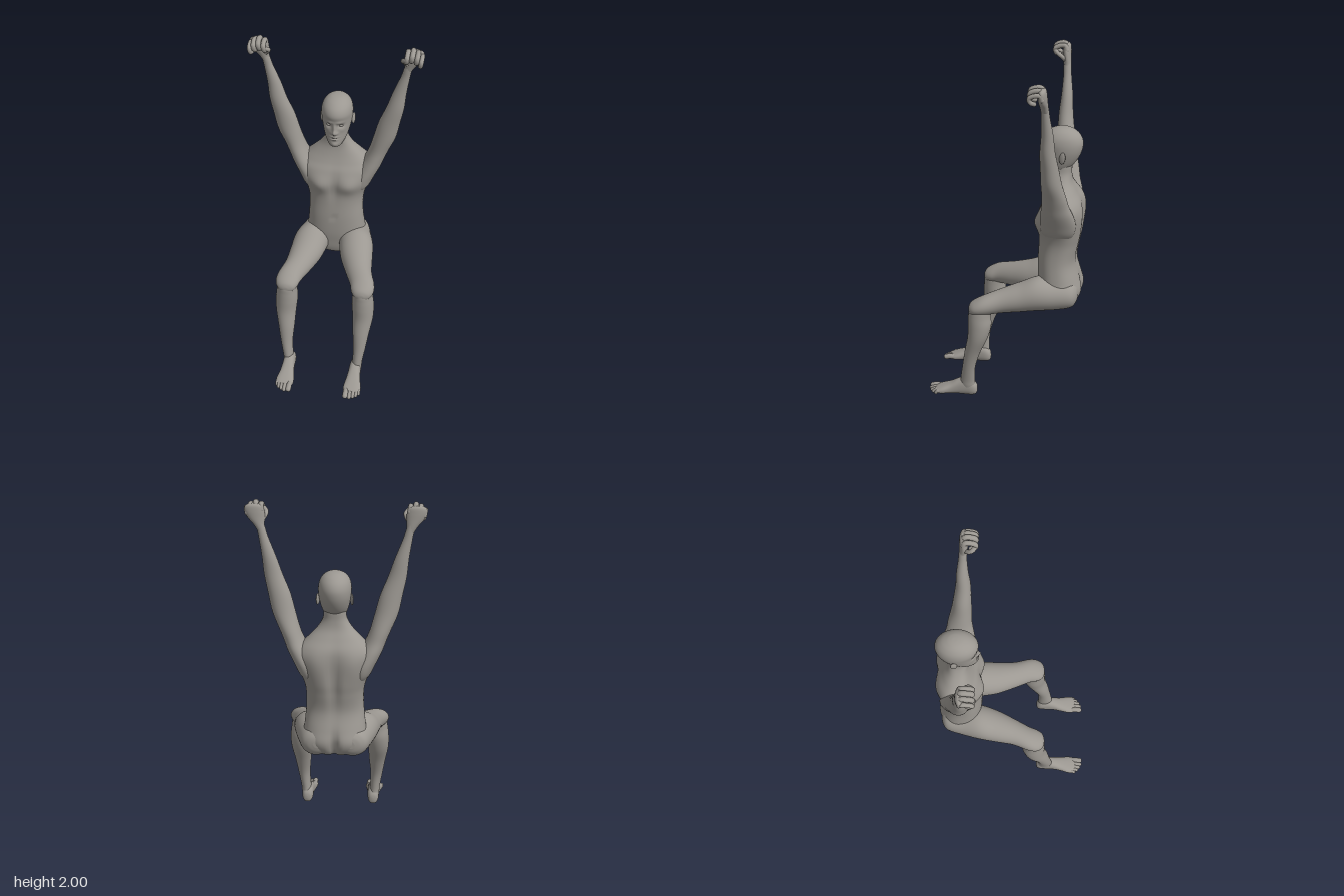
import * as THREE from 'three';
import { mergeGeometries } from 'three/addons/utils/BufferGeometryUtils.js';

const skin = new THREE.MeshStandardMaterial({ color: 0x9c9892 });
skin.name = 'warm grey';

// Smooth skin over oval sections [cx, cy, cz, rx, r2]; axis is the direction the sections face.
// deform(point, s) may push vertices; s runs from -1 (back or bottom) to 1 (front or top).
function loft(stations, axis, { side = 1, seg = 40, steps = 6, power = 1, deform } = {}) {
  const pos = [], index = [];
  const rows = (stations.length - 1) * steps + 1;
  const spline = (a, b, c, d, t) => {
    const m0 = (c - a) / 2, m1 = (d - b) / 2;
    return b + m0 * t + (3 * (c - b) - 2 * m0 - m1) * t * t + (2 * (b - c) + m0 + m1) * t * t * t;
  };
  const at = (i) => stations[Math.min(Math.max(i, 0), stations.length - 1)];
  const bend = (v) => Math.sign(v) * Math.abs(v) ** power;
  const p = new THREE.Vector3();
  for (let r = 0; r < rows; r++) {
    const i = Math.min(Math.floor(r / steps), stations.length - 2), t = r / steps - i;
    const [cx, cy, cz, rx, r2] = at(i).map((v, k) => spline(at(i - 1)[k], v, at(i + 1)[k], at(i + 2)[k], t));
    for (let j = 0; j < seg; j++) {
      const a = (j / seg) * Math.PI * 2, c = bend(Math.cos(a)), s = bend(Math.sin(a));
      p.set(cx + Math.max(rx, 0.0005) * c, cy, cz);
      p[axis === 'y' ? 'z' : 'y'] += Math.max(r2, 0.0005) * s;
      if (deform) deform(p, s);
      pos.push(p.x * side, p.y, p.z);
      if (r < rows - 1) {
        const k = r * seg + j, n = r * seg + (j + 1) % seg;
        index.push(k, k + seg, n, n, k + seg, n + seg);
      }
    }
  }
  for (let j = 1; j < seg - 1; j++) {
    const e = (rows - 1) * seg;
    index.push(0, j, j + 1, e, e + j + 1, e + j);
  }
  // The winding depends on the axis and on mirroring
  if ((axis === 'y' ? 1 : -1) * side * Math.sign(stations.at(-1)[axis === 'y' ? 1 : 2] - stations[0][axis === 'y' ? 1 : 2]) < 0) index.reverse();
  const g = new THREE.BufferGeometry();
  g.setAttribute('position', new THREE.Float32BufferAttribute(pos, 3));
  g.setIndex(index);
  g.computeVertexNormals();
  return g;
}

// Round-ended tube for fingers, thumbs and toes
function digit(points, radius, side) {
  const v = points.map(([x, y, z]) => new THREE.Vector3(x * side, y, z));
  const ball = (p) => new THREE.SphereGeometry(radius, 14, 10).translate(p.x, p.y, p.z);
  return mergeGeometries([
    new THREE.TubeGeometry(new THREE.CatmullRomCurve3(v), 16, radius, 14), ball(v[0]), ball(v.at(-1)),
  ]);
}

const ellipsoid = (x, y, z, rx, ry, rz) => new THREE.SphereGeometry(1, 24, 16).scale(rx, ry, rz).translate(x, y, z);
const bump = (x, y, cx, cy, sx, sy) => Math.exp(-(((x - cx) / sx) ** 2) - ((y - cy) / sy) ** 2);
// Upright section given as height, half width, back z and front z
const section = ([y, w, back, front]) => [0, y, (front + back) / 2, w, (front - back) / 2];

export function createModel() {
  const model = new THREE.Group();
  model.name = 'seatedFigure';
  const add = (name, geometry, parent = model) => {
    const m = new THREE.Mesh(geometry, skin);
    m.name = name;
    parent.add(m);
  };

  // Torso and neck, with chest, navel, spine groove, shoulder blades and buttocks
  add('torso', loft([
    [0.578, 0.03, -0.33, -0.25], [0.59, 0.1, -0.385, -0.215], [0.625, 0.155, -0.418, -0.2],
    [0.68, 0.178, -0.432, -0.192], [0.75, 0.17, -0.422, -0.184], [0.85, 0.16, -0.4, -0.182],
    [0.95, 0.159, -0.415, -0.186], [1.02, 0.173, -0.428, -0.186], [1.1, 0.207, -0.433, -0.18],
    [1.17, 0.222, -0.432, -0.196], [1.22, 0.192, -0.422, -0.22], [1.27, 0.142, -0.395, -0.238],
    [1.32, 0.095, -0.37, -0.248], [1.37, 0.066, -0.362, -0.246], [1.42, 0.06, -0.364, -0.245], [1.46, 0.055, -0.36, -0.25],
  ].map(section), 'y', {
    seg: 72, power: 0.85,
    deform: (p, s) => {
      const x = Math.abs(p.x), y = p.y;
      if (s > 0) {
        p.z += s * (0.02 * bump(x, y, 0.09, 1.09, 0.055, 0.055) - 0.012 * bump(x, y, 0, 1.08, 0.025, 0.09)
          - 0.008 * bump(x, y, 0, 0.86, 0.012, 0.014));
      } else {
        p.z -= s * (0.02 * bump(x, y, 0, 1.03, 0.03, 0.16) + 0.035 * bump(x, y, 0, 0.64, 0.018, 0.08));
        p.z += s * (0.01 * bump(x, y, 0.1, 1.14, 0.05, 0.09) + 0.01 * bump(x, y, 0.08, 0.67, 0.06, 0.07));
      }
    },
  }));

  // Head, with brow, eye sockets, nose, lips and chin
  const head = new THREE.Group();
  head.name = 'head';
  model.add(head);
  add('skull', loft([
    [1.345, 0.015, -0.245, -0.215], [1.353, 0.034, -0.275, -0.202], [1.37, 0.047, -0.31, -0.196],
    [1.395, 0.061, -0.345, -0.197], [1.43, 0.073, -0.378, -0.199], [1.47, 0.082, -0.403, -0.2],
    [1.51, 0.088, -0.418, -0.197], [1.55, 0.089, -0.422, -0.188], [1.585, 0.081, -0.41, -0.2],
    [1.612, 0.063, -0.385, -0.228], [1.628, 0.04, -0.355, -0.262], [1.634, 0.018, -0.33, -0.29], [1.635, 0, -0.31, -0.31],
  ].map(section), 'y', {
    seg: 112, steps: 8,
    deform: (p, s) => {
      if (s <= 0) return;
      const x = Math.abs(p.x), y = p.y;
      p.z += s * (0.02 * bump(x, y, 0, 1.448, 0.011, 0.014) + 0.012 * bump(x, y, 0, 1.475, 0.009, 0.025)
        + 0.008 * bump(x, y, 0.014, 1.442, 0.008, 0.008) + 0.006 * bump(x, y, 0.03, 1.512, 0.025, 0.009)
        - 0.014 * bump(x, y, 0.034, 1.488, 0.016, 0.012) + 0.009 * bump(x, y, 0, 1.417, 0.019, 0.006)
        + 0.009 * bump(x, y, 0, 1.401, 0.017, 0.006) - 0.005 * bump(x, y, 0, 1.409, 0.024, 0.0035)
        + 0.005 * bump(x, y, 0, 1.368, 0.02, 0.014) + 0.005 * bump(x, y, 0.05, 1.46, 0.016, 0.016));
    },
  }), head);

  for (const [label, side] of [['left', 1], ['right', -1]]) {
    add(label + 'Eye', ellipsoid(side * 0.034, 1.488, -0.225, 0.014, 0.009, 0.013), head);
    const ear = ellipsoid(0, 0, 0, 0.008, 0.034, 0.019).rotateY(side * -0.4).rotateX(-0.15);
    add(label + 'Ear', ear.translate(side * 0.091, 1.482, -0.32), head);

    // Raised arm from the shoulder to the wrist
    const arm = new THREE.Group();
    arm.name = label + 'Arm';
    model.add(arm);
    add('armSkin', loft([
      [0.125, 1.01, -0.31, 0.03, 0.06], [0.143, 1.06, -0.31, 0.052, 0.092], [0.16, 1.12, -0.312, 0.064, 0.1],
      [0.194, 1.19, -0.31, 0.063, 0.09], [0.222, 1.25, -0.305, 0.057, 0.076], [0.246, 1.31, -0.302, 0.057, 0.067],
      [0.277, 1.4, -0.291, 0.063, 0.057], [0.301, 1.5, -0.283, 0.06, 0.049], [0.331, 1.6, -0.276, 0.05, 0.041],
      [0.353, 1.7, -0.277, 0.038, 0.033], [0.38, 1.8, -0.273, 0.026, 0.024], [0.392, 1.85, -0.27, 0.023, 0.022],
      [0.402, 1.89, -0.268, 0.022, 0.02],
    ], 'y', { side }), arm);

    // Fist
    add('palm', loft([
      [0.391, 1.84, -0.271, 0.02, 0.02], [0.404, 1.875, -0.268, 0.03, 0.022], [0.418, 1.91, -0.264, 0.046, 0.024],
      [0.427, 1.945, -0.262, 0.053, 0.024], [0.43, 1.972, -0.262, 0.046, 0.02], [0.431, 1.985, -0.262, 0.02, 0.01],
    ], 'y', { side }), arm);
    [[0.393, 1.976, 0.014], [0.421, 1.986, 0.0145], [0.448, 1.976, 0.014], [0.471, 1.957, 0.0125]].forEach(([x, y, r], i) => {
      add('finger' + (i + 1), digit([
        [x - 0.004, y - 0.025, -0.264], [x, y - 0.002, -0.256], [x + 0.001, y - 0.002, -0.226], [x - 0.001, y - 0.018, -0.199],
        [x - 0.005, y - 0.042, -0.207], [x - 0.008, y - 0.048, -0.225],
      ], r, side), arm);
    });
    add('thumb', digit([
      [0.395, 1.89, -0.258], [0.376, 1.912, -0.244], [0.369, 1.932, -0.222], [0.384, 1.947, -0.202],
    ], 0.0125, side), arm);

    // Bent leg
    const leg = new THREE.Group();
    leg.name = label + 'Leg';
    model.add(leg);
    add('thigh', loft([
      [0.095, 0.67, -0.425, 0.02, 0.02], [0.097, 0.668, -0.415, 0.055, 0.05], [0.102, 0.667, -0.385, 0.082, 0.077],
      [0.112, 0.667, -0.3, 0.098, 0.092], [0.134, 0.671, -0.2, 0.102, 0.1], [0.152, 0.648, -0.1, 0.095, 0.086],
      [0.179, 0.628, 0, 0.079, 0.071], [0.214, 0.61, 0.09, 0.072, 0.058], [0.222, 0.596, 0.14, 0.065, 0.047],
      [0.222, 0.588, 0.17, 0.046, 0.034], [0.222, 0.585, 0.182, 0.02, 0.016], [0.222, 0.585, 0.184, 0, 0],
    ], 'z', { side }), leg);
    add('shin', loft([
      [0.203, 0.03, 0.195, 0.026, 0.036], [0.206, 0.07, 0.198, 0.03, 0.043], [0.21, 0.11, 0.198, 0.03, 0.042],
      [0.219, 0.2, 0.188, 0.036, 0.038], [0.223, 0.3, 0.165, 0.048, 0.046], [0.229, 0.4, 0.133, 0.06, 0.058],
      [0.226, 0.48, 0.121, 0.065, 0.067], [0.224, 0.54, 0.121, 0.061, 0.065], [0.222, 0.59, 0.118, 0.055, 0.063],
      [0.221, 0.63, 0.11, 0.035, 0.04],
    ], 'y', { side }), leg);
    add('foot', loft([
      [0.2, 0.04, 0.143, 0.005, 0.008], [0.2, 0.041, 0.15, 0.023, 0.031], [0.2, 0.05, 0.175, 0.033, 0.049],
      [0.2, 0.055, 0.22, 0.035, 0.055], [0.2, 0.048, 0.26, 0.037, 0.047], [0.2, 0.036, 0.3, 0.043, 0.035],
      [0.202, 0.026, 0.345, 0.052, 0.025], [0.202, 0.02, 0.375, 0.05, 0.018], [0.202, 0.018, 0.392, 0.036, 0.012],
    ], 'z', { side, power: 0.85 }), leg);
    [[0.17, 0.42, 0.016], [0.195, 0.423, 0.0115], [0.214, 0.414, 0.011], [0.231, 0.402, 0.0105], [0.245, 0.385, 0.01]].forEach(([x, tip, r], i) => {
      add('toe' + (i + 1), digit([
        [x, 0.02, 0.355], [x, 0.022, (tip + 0.365) / 2], [x, r + 0.001, tip],
      ], r, side), leg);
    });
  }
  return model;
}
